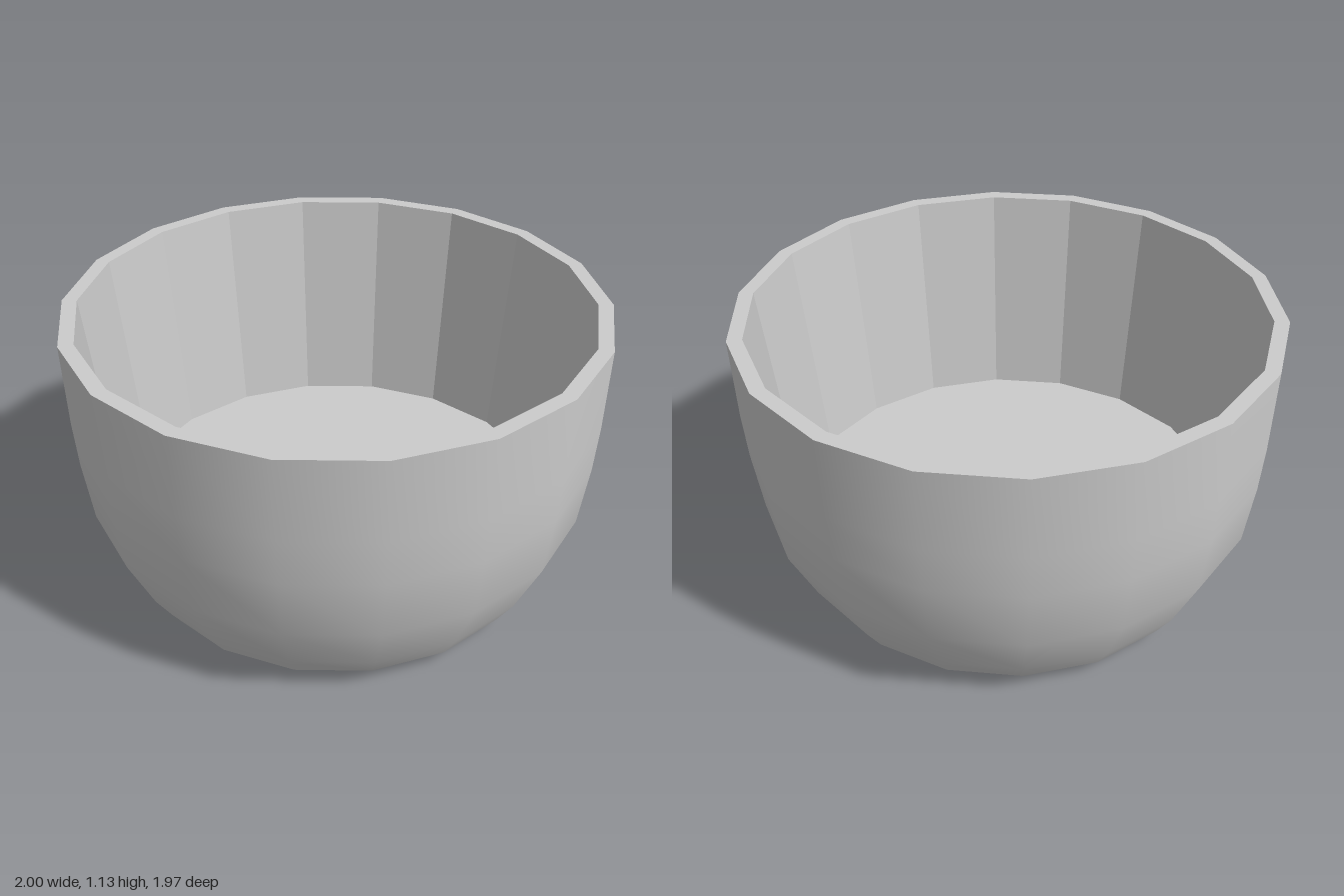
import * as THREE from 'three';

const SIDES = 18;

export function createModel() {
  const group = new THREE.Group();
  const smooth = new THREE.MeshStandardMaterial({ color: 0xcccccc });
  const faceted = new THREE.MeshStandardMaterial({ color: 0xcccccc, flatShading: true });

  // Revolves a [radius, height] profile, with a corner of the polygon on +x
  function lathe(name, profile, material) {
    const points = profile.map(([r, y]) => new THREE.Vector2(r, y));
    const mesh = new THREE.Mesh(new THREE.LatheGeometry(points, SIDES, Math.PI / 2), material);
    mesh.name = name;
    group.add(mesh);
  }

  // Rounded outer wall
  lathe('outerWall', [[0.8, 0.073], [0.861, 0.175], [0.957, 0.395], [0.985, 0.64], [0.995, 0.82], [1, 1.133]], smooth);

  // Flat rim, tapering inner wall and floor
  lathe('rim', [[1, 1.133], [0.945, 1.133]], faceted);
  lathe('innerWall', [[0.945, 1.133], [0.86, 0.255]], faceted);
  lathe('innerFloor', [[0.86, 0.255], [0, 0.255]], faceted);

  // Underside and solid foot
  lathe('underside', [[0.725, 0.073], [0.8, 0.073]], faceted);
  lathe('footSide', [[0.725, 0], [0.725, 0.073]], smooth);
  lathe('footBase', [[0, 0], [0.725, 0]], faceted);

  return group;
}
